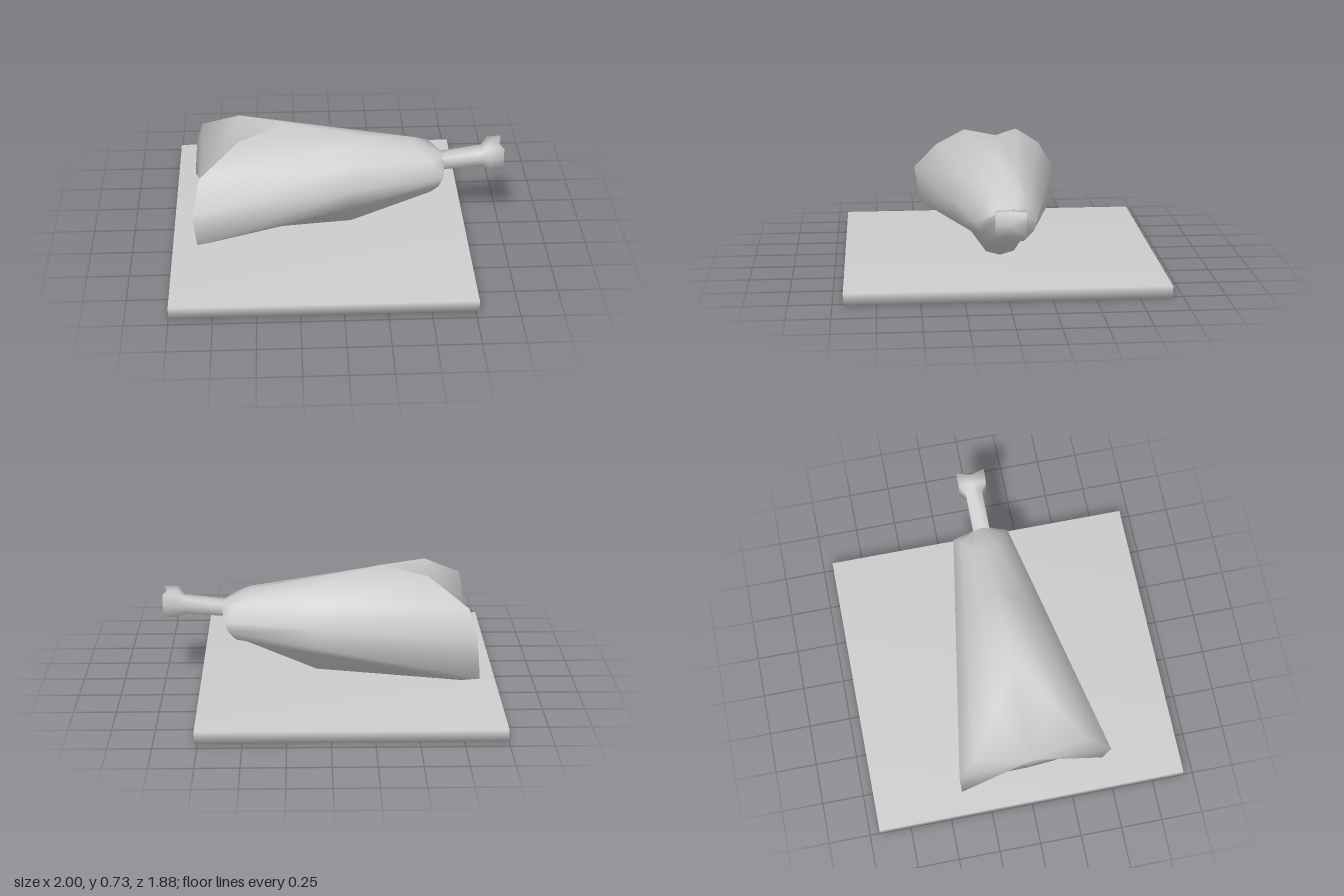
import * as THREE from 'three';
import { mergeVertices } from 'three/addons/utils/BufferGeometryUtils.js';

// Skin a list of rings (ordered along +x, each running top -> +z -> bottom -> -z), with fan caps.
function loft(rings, startCentre, endCentre) {
  const n = rings[0].length;
  const points = rings.flat();
  const index = [];
  for (let r = 0; r < rings.length - 1; r++) {
    for (let i = 0; i < n; i++) {
      const j = (i + 1) % n;
      const a = r * n + i, b = r * n + j;
      index.push(a, b, a + n, b, b + n, a + n);
    }
  }
  const s = points.push(startCentre) - 1;
  const e = points.push(endCentre) - 1;
  const last = (rings.length - 1) * n;
  for (let i = 0; i < n; i++) {
    const j = (i + 1) % n;
    index.push(s, j, i, e, last + i, last + j);
  }
  const geometry = new THREE.BufferGeometry();
  geometry.setAttribute('position', new THREE.Float32BufferAttribute(points.flat(), 3));
  geometry.setIndex(index);
  geometry.computeVertexNormals();
  return geometry;
}

// Close a half ring (top to bottom on the +z side) with its mirrored side.
function mirrorRing(half) {
  const back = half.slice(1, -1).reverse().map(([x, y, z]) => [x, y, -z]);
  return [...half, ...back];
}

// Eight-point square ring for the bone; notch pulls its middle line back in x.
function squareRing(x, low, high, halfWidth, notch = 0) {
  const mid = (low + high) / 2;
  return mirrorRing([
    [x - notch, high, 0], [x, high, halfWidth], [x, mid, halfWidth],
    [x, low, halfWidth], [x - notch, low, 0],
  ]).map(([px, py, pz]) => [px, py, pz + 0.008]);
}

export function createModel() {
  const model = new THREE.Group();
  model.name = 'hamOnBoard';
  const grey = new THREE.MeshStandardMaterial({ color: 0xcccccc });
  grey.name = 'light grey';

  const add = (name, geometry) => {
    const mesh = new THREE.Mesh(geometry, grey);
    mesh.name = name;
    model.add(mesh);
    return mesh;
  };

  // Board with shared, softly shaded corners
  let board = new THREE.BoxGeometry(1.77, 0.07, 1.876);
  board.deleteAttribute('normal');
  board.deleteAttribute('uv');
  board = mergeVertices(board);
  board.computeVertexNormals();
  add('board', board).position.set(-0.115, 0.035, 0);

  // Meat: broad slanted end, slightly uneven from side to side
  const broad = [
    [-0.31, 0.73, 0], [-0.59, 0.71, 0.18], [-0.82, 0.565, 0.35], [-0.863, 0.405, 0.495],
    [-0.845, 0.18, 0.46], [-0.77, 0.10, 0.31], [-0.78, 0.07, 0.15], [-0.79, 0.07, 0],
    [-0.79, 0.07, -0.15], [-0.79, 0.10, -0.29], [-0.885, 0.16, -0.41], [-0.865, 0.40, -0.415],
    [-0.82, 0.565, -0.32], [-0.59, 0.71, -0.15],
  ];
  const narrow = mirrorRing([
    [0.46, 0.58, 0], [0.47, 0.575, 0.08], [0.56, 0.525, 0.13], [0.625, 0.43, 0.17],
    [0.60, 0.36, 0.15], [0.56, 0.295, 0.10], [0.56, 0.29, 0.05], [0.56, 0.29, 0],
  ]);
  // Middle section, pressed down onto the board underneath
  const middle = broad.map((p, i) => {
    const q = p.map((v, k) => THREE.MathUtils.lerp(v, narrow[i][k], 0.64));
    if (i === 7) q[1] = 0.07;
    if (i === 6 || i === 8) q[1] = 0.095;
    return q;
  });
  const neck = narrow.map((_, i) => {
    const a = (i / narrow.length) * Math.PI * 2;
    return [0.64, 0.46 + 0.042 * Math.cos(a), 0.008 + 0.06 * Math.sin(a)];
  });
  add('meat', loft([broad, middle, narrow, neck], [-0.83, 0.37, 0.03], [0.64, 0.46, 0.008]));

  // Bone: slim shaft flaring to a notched knuckle
  add('bone', loft([
    squareRing(0.52, 0.42, 0.485, 0.05),
    squareRing(0.87, 0.44, 0.535, 0.05),
    squareRing(0.91, 0.43, 0.572, 0.083),
    squareRing(0.995, 0.44, 0.575, 0.086, 0.025),
  ], [0.52, 0.45, 0.008], [0.97, 0.507, 0.008]));

  return model;
}
